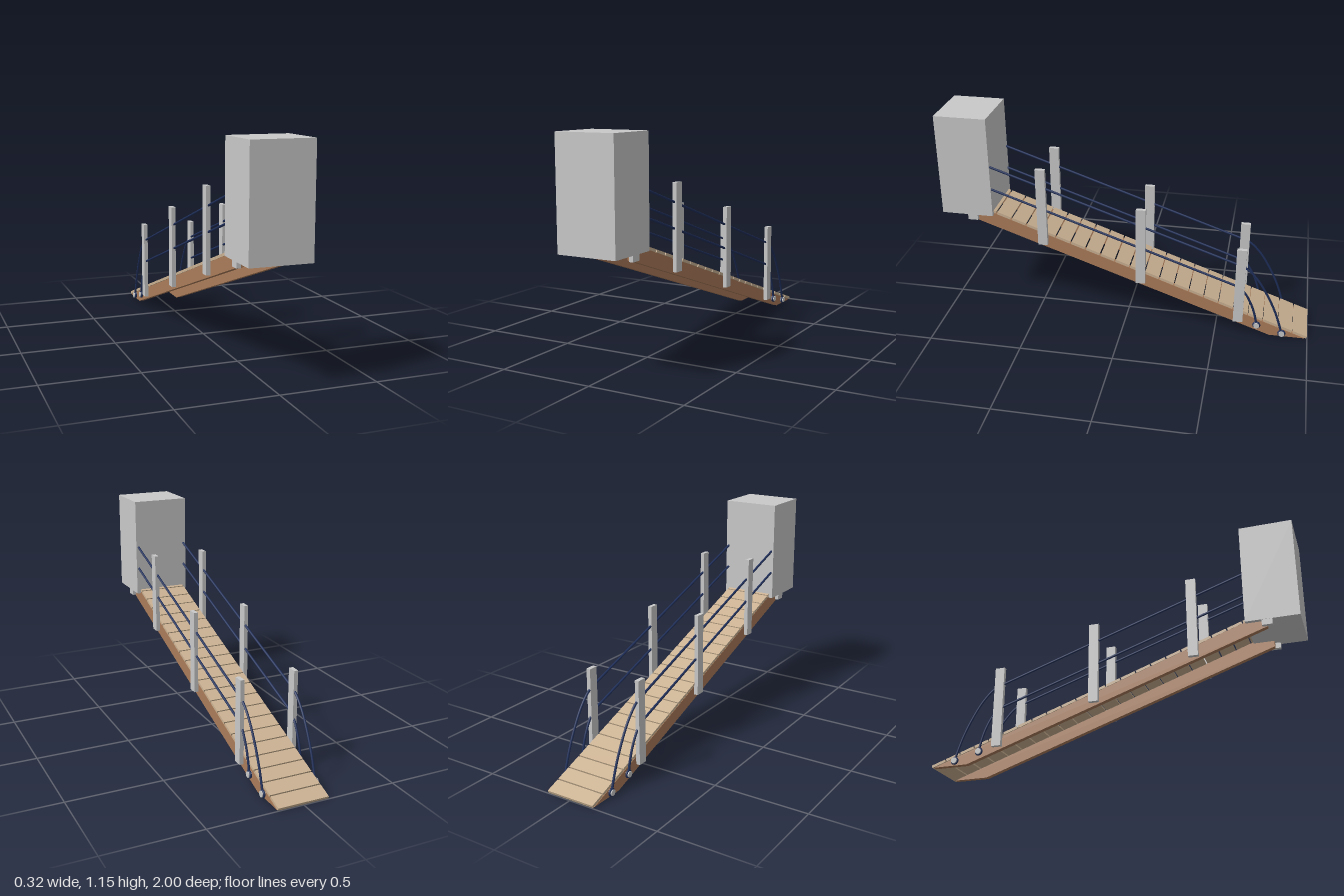
import * as THREE from 'three';

export function createModel() {
  const mat = (name, color) => Object.assign(new THREE.MeshStandardMaterial({ color }), { name });
  const grey = mat('painted metal', 0xc9c9c9);
  const brown = mat('stringer wood', 0xab7c5a);
  const tan = mat('plank wood', 0xcbb293);
  const navy = mat('navy rope', 0x20305c);

  const model = new THREE.Group();
  model.name = 'gangway';
  const add = (name, geometry, material, x = 0, y = 0, z = 0) => {
    const mesh = new THREE.Mesh(geometry, material);
    mesh.name = name;
    mesh.position.set(x, y, z);
    model.add(mesh);
    return mesh;
  };

  // Tall block at the upper end
  add('upperBlock', new THREE.BoxGeometry(0.316, 0.555, 0.28), grey, 0, 0.8755, 0.86);

  // Sloping deck of separate planks
  const slope = Math.atan(0.352);
  const pitch = 0.0812;
  const thick = 0.014;
  const plank = new THREE.BoxGeometry(0.272, thick, pitch / Math.cos(slope) - 0.007);
  for (let i = 0; i < 22; i++) {
    const z = -0.96 + i * pitch;
    const y = 0.016 + (z + 1) * 0.352 - thick / 2 / Math.cos(slope);
    add('plank', plank, tan, 0, y, z).rotation.x = -slope;
  }

  // Side stringer profile, drawn as (z, y)
  const profile = new THREE.Shape([
    [-0.985, 0.003], [-0.795, 0.003], [0.83, 0.566], [0.83, 0.645],
  ].map(([z, y]) => new THREE.Vector2(z, y)));
  const stringer = new THREE.ExtrudeGeometry(profile, { depth: 0.028, bevelEnabled: false });
  stringer.rotateY(-Math.PI / 2).translate(0.014, 0, 0);

  const post = new THREE.BoxGeometry(0.022, 0.443, 0.052);
  const bracket = new THREE.BoxGeometry(0.022, 0.06, 0.054);
  const bolt = new THREE.CylinderGeometry(0.016, 0.016, 0.02, 16).rotateZ(Math.PI / 2);
  const eye = new THREE.TorusGeometry(0.016, 0.006, 8, 20).rotateY(Math.PI / 2);

  // Ropes run straight past the posts, then droop to their bolts, as (z, y)
  const ropes = [
    { start: [0.73, 0.885], bend: [-0.62, 0.426],
      droop: [[-0.66, 0.405], [-0.717, 0.345], [-0.77, 0.26], [-0.82, 0.155], [-0.862, 0.03]],
      anchor: [-0.862, 0.027] },
    { start: [0.73, 0.755], bend: [-0.61, 0.297],
      droop: [[-0.65, 0.262], [-0.69, 0.19], [-0.712, 0.125], [-0.725, 0.065]],
      anchor: [-0.725, 0.064] },
  ];

  for (const side of [1, -1]) {
    const label = side > 0 ? 'left' : 'right';
    add(label + 'Stringer', stringer, brown, side * 0.122, 0, 0);
    add(label + 'Bracket', bracket, grey, side * 0.146, 0.597, 0.832);

    for (let i = 0; i < 3; i++) {
      add(label + 'Post', post, grey, side * 0.147, 0.671 - i * 0.184, 0.447 - i * 0.535);
    }

    const x = side * 0.144;
    const point = ([z, y]) => new THREE.Vector3(x, y, z);
    for (const { start, bend, droop, anchor } of ropes) {
      const straight = new THREE.LineCurve3(point(start), point(bend));
      const curve = new THREE.CatmullRomCurve3([bend, ...droop].map(point));
      add(label + 'Rope', new THREE.TubeGeometry(straight, 1, 0.0062, 8), navy);
      add(label + 'RopeEnd', new THREE.TubeGeometry(curve, 24, 0.0062, 8), navy);
      add(label + 'RopeEye', eye, navy, x, anchor[1], anchor[0]);
      add(label + 'Bolt', bolt, grey, side * 0.145, anchor[1], anchor[0]);
    }
  }
  return model;
}
